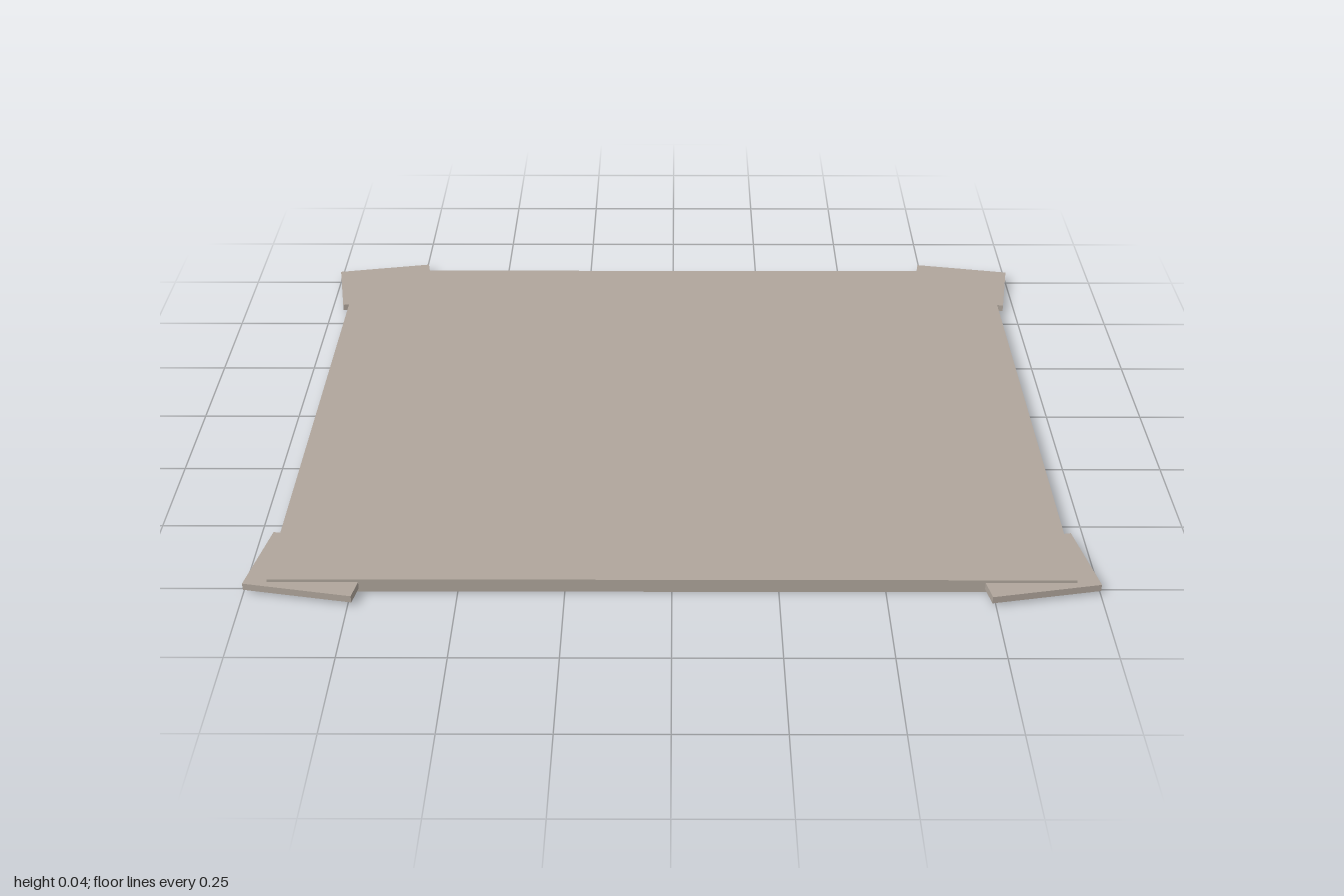
import * as THREE from 'three';

export function createModel() {
  const model = new THREE.Group();
  model.name = 'mat';
  const material = new THREE.MeshStandardMaterial({ color: 0xb0a69c });

  const addBox = (name, size, position, turn = 0) => {
    const mesh = new THREE.Mesh(new THREE.BoxGeometry(...size), material);
    mesh.name = name;
    mesh.position.set(...position);
    mesh.rotation.y = turn;
    model.add(mesh);
  };

  // Flat main panel
  addBox('panel', [1.888, 0.035, 1.52], [0, 0.0175, 0]);

  // Slightly turned plates tucked into the four corners, mirrored on both axes
  for (const sx of [1, -1]) {
    for (const sz of [1, -1]) {
      const name = (sz > 0 ? 'front' : 'back') + (sx > 0 ? 'Left' : 'Right') + 'Corner';
      addBox(name, [0.264, 0.018, 0.207], [sx * 0.852, 0.018, sz * 0.688], sx * sz * 0.179);
    }
  }
  return model;
}
